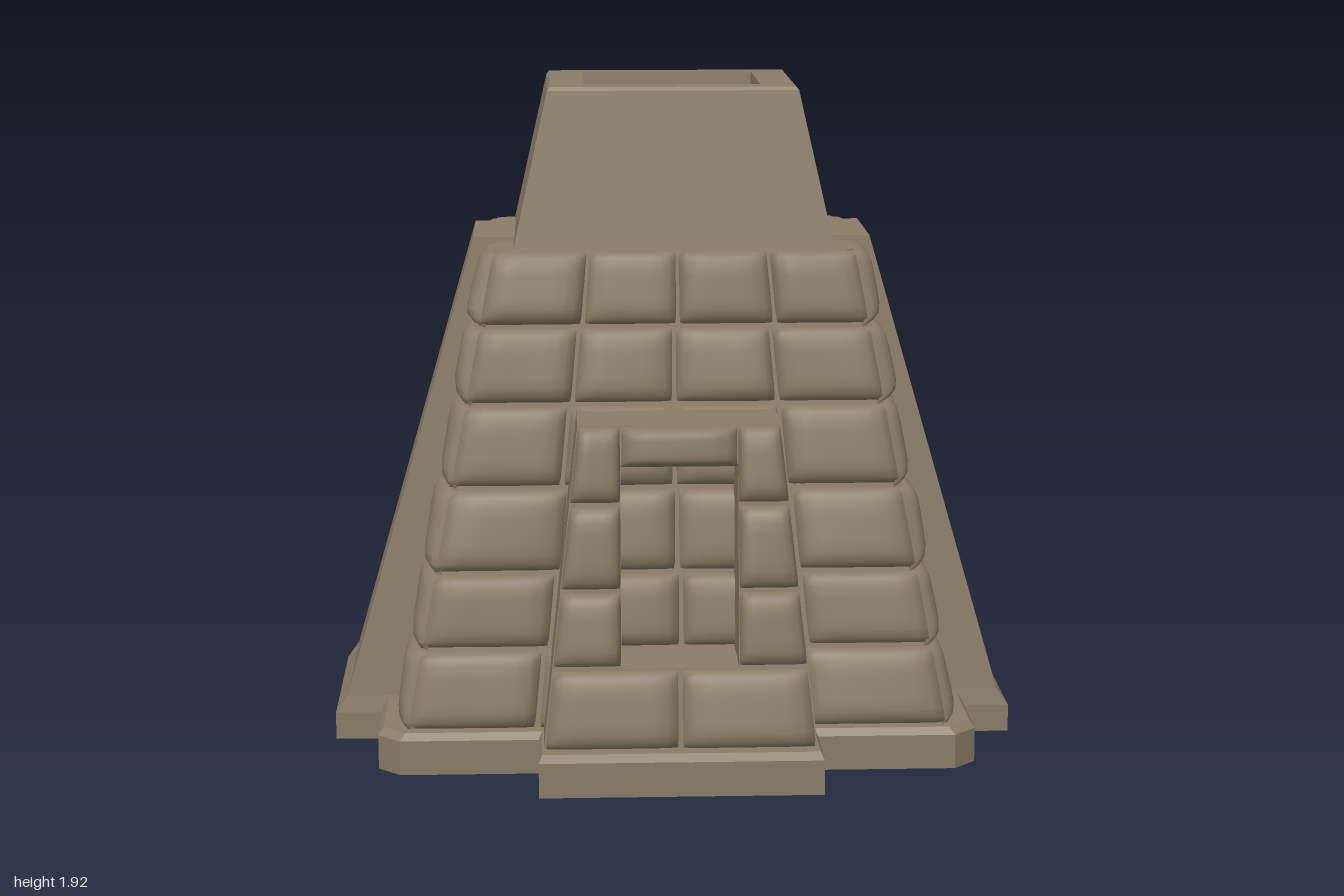
import * as THREE from 'three';

const stoneMat = new THREE.MeshStandardMaterial({ color: 0x8a7d67 });
stoneMat.name = 'weatheredStone';

let seed = 7;
const rnd = (a) => {
  seed = (seed * 16807) % 2147483647;
  return (seed / 2147483647 * 2 - 1) * a;
};
const mix = (a, b, t) => a + (b - a) * t;

function add(parent, name, geometry) {
  const mesh = new THREE.Mesh(geometry, stoneMat);
  mesh.name = name;
  parent.add(mesh);
  return mesh;
}

// Horizontal rectangle at height y, with optional cut corners
function rect(y, x0, x1, z0, z1, c = 0) {
  if (!c) return [[x0, y, z1], [x1, y, z1], [x1, y, z0], [x0, y, z0]];
  return [[x0 + c, y, z1], [x1 - c, y, z1], [x1, y, z1 - c], [x1, y, z0 + c],
    [x1 - c, y, z0], [x0 + c, y, z0], [x0, y, z0 + c], [x0, y, z1 - c]];
}

// Flat-faced solid through a stack of rings, closed at both ends
function loft(rings) {
  const out = [];
  const tri = (a, b, c) => out.push(...a, ...b, ...c);
  for (let k = 0; k < rings.length - 1; k++) {
    const a = rings[k], b = rings[k + 1];
    a.forEach((p, i) => {
      const j = (i + 1) % a.length;
      tri(p, a[j], b[j]);
      tri(p, b[j], b[i]);
    });
  }
  const lo = rings[0], hi = rings[rings.length - 1];
  for (let i = 1; i < lo.length - 1; i++) {
    tri(lo[0], lo[i + 1], lo[i]);
    tri(hi[0], hi[i], hi[i + 1]);
  }
  const g = new THREE.BufferGeometry();
  g.setAttribute('position', new THREE.Float32BufferAttribute(out, 3));
  g.computeVertexNormals();
  return g;
}

// Pillow-shaped stone over a wall patch; wall(s, y) gives the surface point
function stone(wall, [a0, b0], [a1, b1], y0, y1) {
  const N = 10, depth = 0.058, gap = 0.004;
  const p = [wall(a0, y0 + gap), wall(b0, y0 + gap), wall(a1, y1 - gap), wall(b1, y1 - gap)];
  const n = p[1].clone().sub(p[0]).cross(p[2].clone().sub(p[0])).normalize();
  const tilt = p.map(() => rnd(0.011));
  const g = new THREE.PlaneGeometry(2, 2, N, N);
  const pos = g.attributes.position, v = new THREE.Vector3();
  for (let i = 0; i < pos.count; i++) {
    const s = Math.sin(pos.getX(i) * Math.PI / 2), t = Math.sin(pos.getY(i) * Math.PI / 2);
    const u = (s + 1) / 2, w = (t + 1) / 2;
    const weights = [(1 - u) * (1 - w), u * (1 - w), (1 - u) * w, u * w];
    const round = Math.pow(Math.max(0, (1 - s ** 6) * (1 - t ** 6)), 0.42);
    let bump = depth;
    v.set(0, 0, 0);
    weights.forEach((k, q) => { v.addScaledVector(p[q], k); bump += tilt[q] * k; });
    v.addScaledVector(n, -depth + bump * round);
    pos.setXYZ(i, v.x, v.y, v.z);
  }
  g.computeVertexNormals();
  return g;
}

export function createModel() {
  const model = new THREE.Group();
  model.name = 'stoneTower';
  const zc = -0.11;
  const rows = [0.12, 0.35, 0.565, 0.805, 1.04, 1.26, 1.475];
  const slope = (y) => (y - 0.12) / 1.355;
  const hx = (y) => mix(0.82, 0.56, slope(y));
  const hz = (y) => mix(0.645, 0.41, slope(y));

  // Plinth with cut corners and a bevelled upper edge
  const plinthRing = (y, d) => rect(y, -0.86 + d, 0.86 - d, -0.775 + d, 0.55 - d, 0.065);
  add(model, 'plinth', loft([plinthRing(0, 0), plinthRing(0.1, 0), plinthRing(0.12, 0.015)]));

  // Tapered core behind the stonework
  const coreRing = (y) => {
    const x = hx(y) - 0.045, z = hz(y) - 0.045;
    return rect(y, -x, x, zc - z, zc + z, 0.02);
  };
  add(model, 'core', loft([coreRing(0.1), coreRing(1.465)]));

  // Stone courses: four columns front and back, one stone each side of a buttress
  const V = (x, y, z) => new THREE.Vector3(x, y, z);
  const walls = {
    front: (s, y) => V(s * (hx(y) - 0.035), y, zc + hz(y)),
    back: (s, y) => V(-s * (hx(y) - 0.035), y, zc - hz(y)),
    left: (s, y) => V(hx(y), y, zc - s * (hz(y) - 0.03)),
    right: (s, y) => V(-hx(y), y, zc + s * (hz(y) - 0.03)),
  };
  for (const [side, wall] of Object.entries(walls)) {
    const group = new THREE.Group();
    group.name = side + 'Stonework';
    model.add(group);
    for (let r = 0; r < rows.length - 1; r++) {
      const long = side === 'front' || side === 'back';
      const cuts = long
        ? [-1, -0.49 + rnd(0.025), rnd(0.02), 0.49 + rnd(0.025), 1]
        : [-1, -0.4, 0.4, 1];
      for (let c = 0; c < cuts.length - 1; c++) {
        if (!long && c === 1) continue;
        const span = [cuts[c] + 0.004, cuts[c + 1] - 0.004];
        add(group, 'stone', stone(wall, span, span, rows[r], rows[r + 1]));
      }
    }
  }

  // Sloping buttresses on both sides
  const buttress = [[0, 1, 0.305], [0.08, 1, 0.305], [0.13, 0.965, 0.297], [1.48, 0.58, 0.18]];
  for (const m of [1, -1]) {
    const rings = buttress.map(([y, x, z]) =>
      rect(y, m > 0 ? 0.4 : -x, m > 0 ? x : -0.4, zc - z, zc + z));
    add(model, m > 0 ? 'leftButtress' : 'rightButtress', loft(rings));
  }

  // Hollow upper block
  add(model, 'upperBlock', loft([
    rect(1.44, -0.468, 0.468, -0.465, 0.245),
    rect(1.915, -0.362, 0.362, -0.39, 0.17),
    rect(1.925, -0.354, 0.354, -0.382, 0.162),
    rect(1.925, -0.255, 0.255, -0.315, 0.085),
    rect(1.5, -0.24, 0.24, -0.3, 0.07),
  ]));

  // Porch: plinth, threshold, side walls and lintel around the doorway
  const porch = new THREE.Group();
  porch.name = 'porch';
  model.add(porch);
  const px = (y) => mix(0.385, 0.285, (y - 0.12) / 0.9);
  const pz = (y) => mix(0.75, 0.615, (y - 0.12) / 0.9);
  const door = 0.165;
  add(porch, 'porchPlinth', loft([
    rect(0, -0.4, 0.4, 0.3, 0.775),
    rect(0.1, -0.4, 0.4, 0.3, 0.775),
    rect(0.12, -0.39, 0.39, 0.3, 0.755),
  ]));
  const slab = (name, y0, y1, xa, xb) => add(porch, name, loft(
    [y0, y1].map((y) => rect(y, xa(y), xb(y), 0.2, pz(y) - 0.045))));
  slab('threshold', 0.11, 0.345, (y) => -px(y), px);
  slab('leftPorchWall', 0.34, 1.02, () => door, px);
  slab('rightPorchWall', 0.34, 1.02, (y) => -px(y), () => -door);
  slab('lintel', 0.91, 1.02, () => -door, () => door);

  // Porch facing stones
  const face = (x, y) => V(x, y, pz(y));
  for (const m of [1, -1]) {
    const span = (inner, y) => (m > 0 ? [inner, px(y)] : [-px(y), -inner]);
    for (let r = 0; r < 4; r++) {
      const y0 = rows[r], y1 = r === 3 ? 1.025 : rows[r + 1], inner = r ? door : 0.003;
      add(porch, r ? 'doorJambStone' : 'stepStone',
        stone(face, span(inner, y0), span(inner, y1), y0, y1));
    }
  }
  add(porch, 'lintelStone', stone(face, [-door, door], [-door, door], 0.905, 1.025));

  return model;
}
